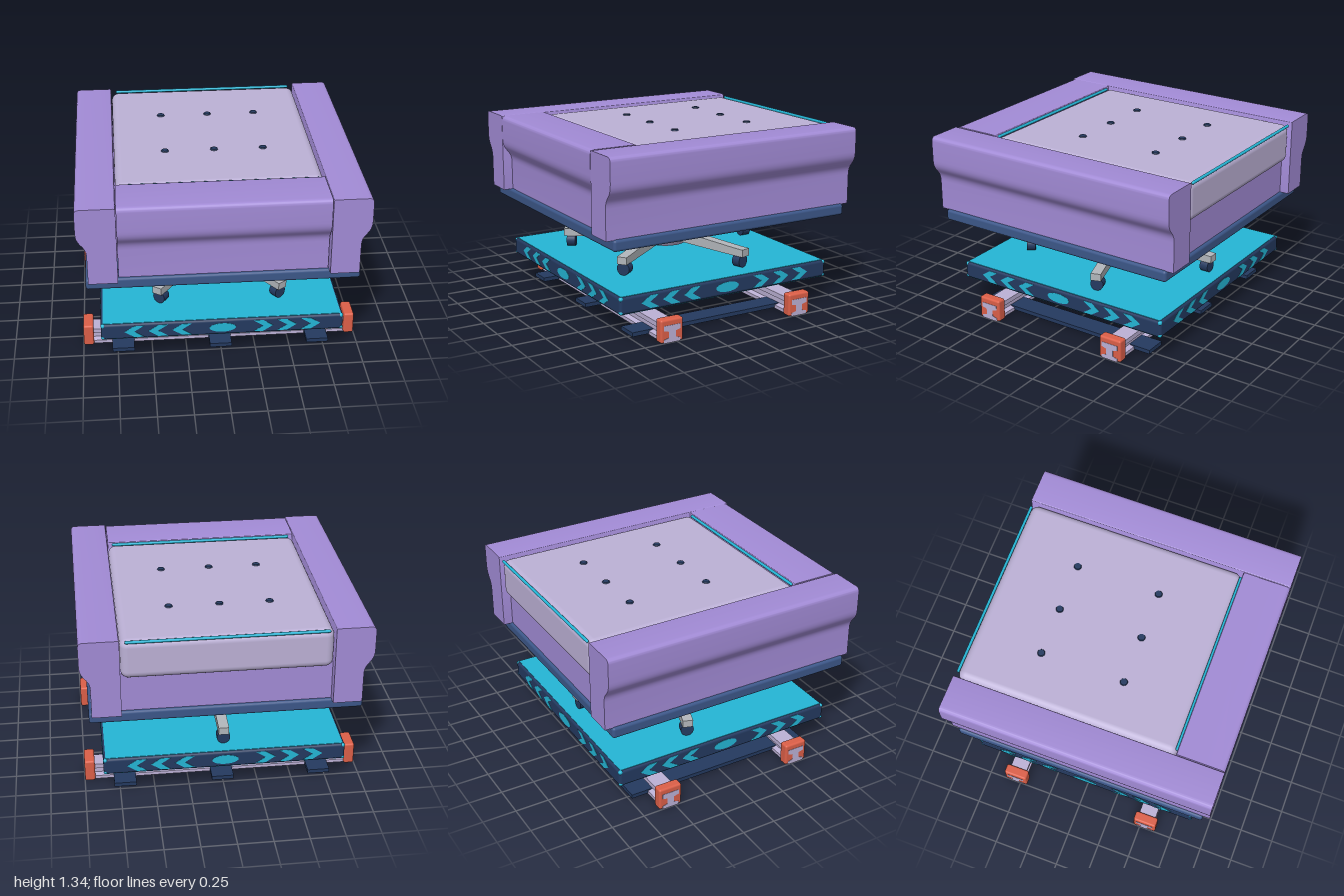
import * as THREE from 'three';
import { RoundedBoxGeometry } from 'three/addons/geometries/RoundedBoxGeometry.js';
import { toCreasedNormals } from 'three/addons/utils/BufferGeometryUtils.js';

const material = (name, color) => Object.assign(new THREE.MeshStandardMaterial({ color }), { name });
const purple = material('purple upholstery', 0xa28bd6);
const lavender = material('pale lavender', 0xbcb1d6);
const navy = material('navy', 0x243a60);
const blue = material('slate blue', 0x3c5789);
const cyan = material('cyan', 0x24b6d6);
const red = material('coral red', 0xdc5f48);
const grey = material('light grey', 0xb2b6bb);

export function createModel() {
  const model = new THREE.Group();
  model.name = 'model';

  const add = (name, geometry, mat, x = 0, y = 0, z = 0, parent = model) => {
    const mesh = new THREE.Mesh(geometry, mat);
    mesh.name = name;
    mesh.position.set(x, y, z);
    parent.add(mesh);
    return mesh;
  };
  const box = (w, h, d) => new THREE.BoxGeometry(w, h, d);
  const rounded = (w, h, d, r) => new RoundedBoxGeometry(w, h, d, 4, r);
  const cylinder = (top, bottom, h, n = 32) => new THREE.CylinderGeometry(top, bottom, h, n);
  const polygon = points => new THREE.Shape(points.map(p => new THREE.Vector2(...p)));
  const extrude = (shape, depth) => {
    const g = new THREE.ExtrudeGeometry(shape, { depth, bevelEnabled: false, curveSegments: 12 });
    g.translate(0, 0, -depth / 2);
    return toCreasedNormals(g, 0.6);
  };

  // I-beam rails with end caps
  const beam = extrude(polygon([
    [-0.065, 0], [0.065, 0], [0.065, 0.025], [0.027, 0.035], [0.027, 0.08], [0.065, 0.09],
    [0.065, 0.125], [-0.065, 0.125], [-0.065, 0.09], [-0.027, 0.08], [-0.027, 0.035], [-0.065, 0.025],
  ]), 2).rotateY(Math.PI / 2);
  for (const z of [-0.535, 0.535]) {
    add('rail', beam, lavender, 0, 0, z);
    for (const s of [-1, 1]) add('railEndCap', rounded(0.074, 0.167, 0.178, 0.015), red, s * 0.961, 0.0835, z);
  }

  // Cross sleepers
  for (const x of [-0.71, 0, 0.71]) add('sleeper', box(0.16, 0.03, 1.46), navy, x, 0.021, 0);

  // Rail wheels
  for (const x of [-0.58, 0.58]) for (const z of [-0.535, 0.535]) {
    add('railWheel', cylinder(0.068, 0.068, 0.09).rotateX(Math.PI / 2), navy, x, 0.194, z);
    add('railWheelHub', cylinder(0.03, 0.03, 0.104).rotateX(Math.PI / 2), grey, x, 0.194, z);
  }

  // Patterned lower board
  add('board', rounded(1.73, 0.125, 1.73, 0.02), navy, 0, 0.268, 0);
  add('boardTop', box(1.7, 0.006, 1.7), cyan, 0, 0.33, 0);
  add('boardUnderside', box(1.7, 0.006, 1.7), cyan, 0, 0.206, 0);
  const chevron = extrude(polygon([
    [0, 0], [-0.07, 0.046], [-0.14, 0.046], [-0.07, 0], [-0.14, -0.046], [-0.07, -0.046],
  ]), 0.006);
  const oval = extrude(new THREE.Shape().absellipse(0, 0, 0.095, 0.036, 0, Math.PI * 2), 0.006);
  for (let i = 0; i < 4; i++) {
    const side = new THREE.Group();
    side.name = 'boardSidePattern';
    side.rotation.y = i * Math.PI / 2;
    model.add(side);
    add('oval', oval, cyan, 0, 0.268, 0.864, side);
    for (const tip of [0.36, 0.53, 0.7]) {
      add('chevronLeft', chevron, cyan, tip, 0.268, 0.864, side);
      add('chevronRight', chevron, cyan, -tip, 0.268, 0.864, side).rotation.z = Math.PI;
    }
    for (const y of [0.22, 0.316]) add('cornerAccent', rounded(0.03, 0.03, 0.03, 0.014), cyan, 0.851, y, 0.851, side);
  }

  // Five-legged swivel base on casters
  const leg = extrude(polygon([
    [0.08, 0.43], [0.66, 0.42], [0.775, 0.42], [0.775, 0.475], [0.69, 0.478], [0.08, 0.515],
  ]), 0.075);
  for (let i = 0; i < 5; i++) {
    const arm = new THREE.Group();
    arm.name = 'swivelLeg';
    arm.rotation.y = Math.PI / 2 + i * Math.PI * 2 / 5;
    model.add(arm);
    add('leg', leg, grey, 0, 0, 0, arm);
    add('casterStem', cylinder(0.02, 0.02, 0.06, 16), navy, 0.72, 0.41, 0, arm);
    add('caster', cylinder(0.048, 0.048, 0.065, 24).rotateZ(Math.PI / 2), navy, 0.72, 0.382, 0, arm);
  }
  add('swivelHub', cylinder(0.13, 0.175, 0.08), lavender, 0, 0.465, 0);
  add('swivelHubBottom', cylinder(0.175, 0.155, 0.03), lavender, 0, 0.41, 0);
  add('columnCone', cylinder(0.09, 0.12, 0.1), navy, 0, 0.555, 0);
  add('column', cylinder(0.075, 0.075, 0.07), grey, 0, 0.63, 0);
  add('mountPlate', box(0.57, 0.03, 0.57), navy, 0, 0.67, 0);
  add('lever', cylinder(0.01, 0.01, 0.46, 12).rotateZ(Math.PI / 2), navy, 0.48, 0.67, -0.13);
  add('leverKnob', cylinder(0.035, 0.035, 0.065, 24).rotateZ(Math.PI / 2), red, 0.733, 0.67, -0.13);

  // Seat platform
  add('seatPlatform', rounded(1.9, 0.082, 1.9, 0.02), blue, 0, 0.725, 0);

  // Upholstered walls: straight inside, flared outside
  const wall = (width, length) => {
    const s = new THREE.Shape();
    s.moveTo(0, 0.762);
    s.lineTo(width - 0.07, 0.762);
    s.lineTo(width - 0.07, 0.98);
    s.bezierCurveTo(width - 0.07, 1.07, width, 1.06, width, 1.16);
    s.lineTo(width, 1.3);
    s.quadraticCurveTo(width, 1.335, width - 0.035, 1.335);
    s.lineTo(0.015, 1.335);
    s.quadraticCurveTo(0, 1.335, 0, 1.32);
    return extrude(s, length);
  };
  const armrest = wall(0.273, 2);
  add('leftArmrest', armrest, purple, 0.727);
  add('rightArmrest', armrest, purple, -0.727).rotation.y = Math.PI;
  add('frontPanel', wall(0.353, 1.446), purple, 0, 0, 0.647).rotation.y = -Math.PI / 2;
  add('seatBody', box(1.456, 0.29, 1.58), purple, 0, 0.907, -0.14);

  // Seat cushion with piping and buttons
  add('cushion', rounded(1.446, 0.29, 1.63, 0.055), lavender, 0, 1.175, -0.17);
  for (const z of [-0.985, 0.64]) add('piping', new THREE.CapsuleGeometry(0.011, 1.36, 6, 12).rotateZ(Math.PI / 2), cyan, 0, 1.315, z);
  for (const x of [-0.355, 0, 0.355]) for (const z of [-0.49, 0.13])
    add('button', cylinder(0.024, 0.03, 0.014, 20), navy, x, 1.322, z);

  return model;
}
